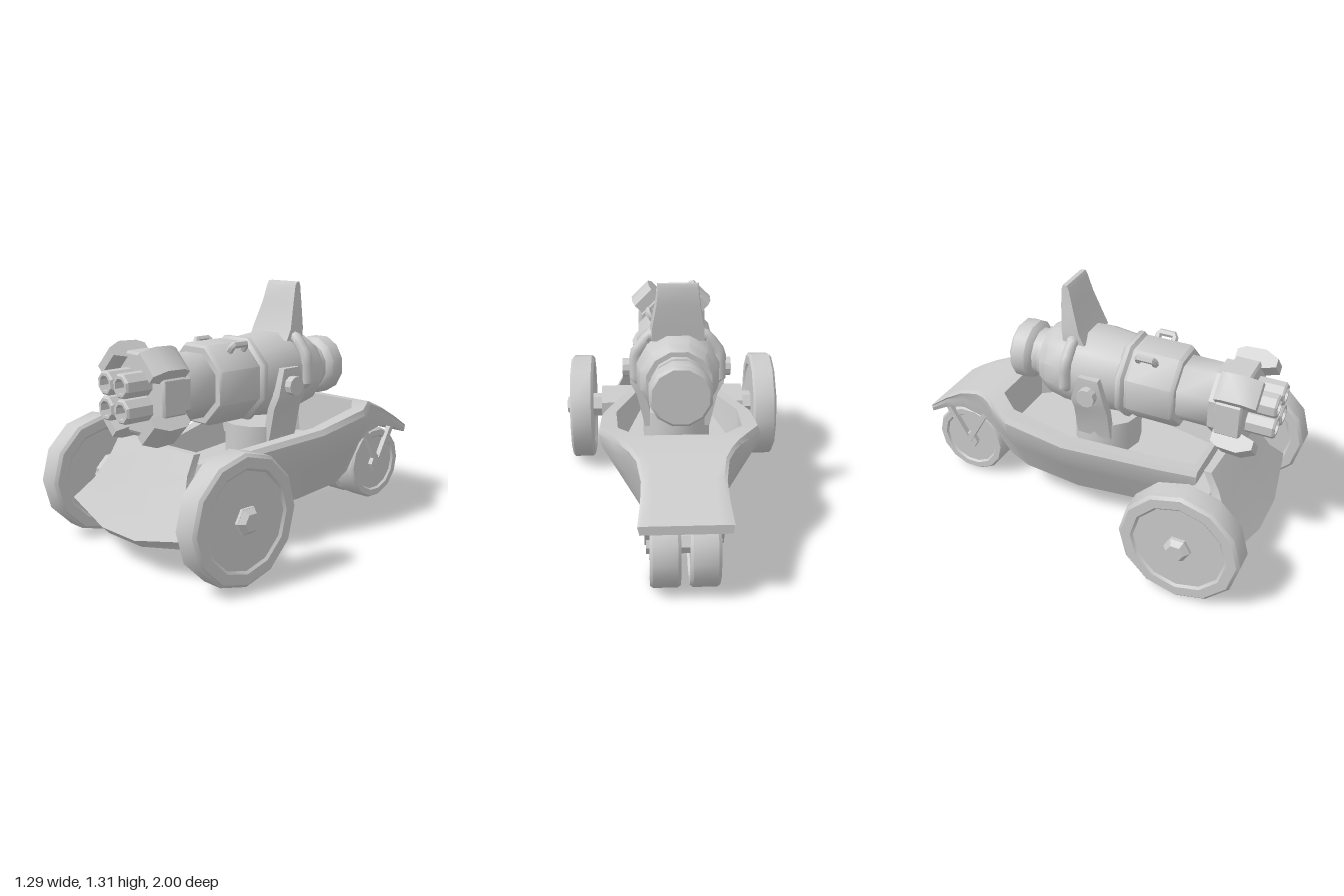
import * as THREE from 'three';
import { toCreasedNormals } from 'three/addons/utils/BufferGeometryUtils.js';

const mat = new THREE.MeshStandardMaterial({ color: 0xcccccc });

function add(parent, name, geo, x = 0, y = 0, z = 0, crease = 0.6) {
  const m = new THREE.Mesh(toCreasedNormals(geo, crease), mat);
  m.name = name;
  m.position.set(x, y, z);
  parent.add(m);
  return m;
}

// Skin over a list of closed rings of [x, y, z], capped at both ends
function loft(rings) {
  const n = rings[0].length, idx = [], last = (rings.length - 1) * n;
  for (let i = 0; i < rings.length - 1; i++)
    for (let j = 0; j < n; j++) {
      const a = i * n + j, b = i * n + (j + 1) % n;
      idx.push(a, a + n, b, b, a + n, b + n);
    }
  for (let j = 1; j < n - 1; j++) idx.push(0, j, j + 1, last, last + j + 1, last + j);
  const g = new THREE.BufferGeometry();
  g.setAttribute('position', new THREE.Float32BufferAttribute(rings.flat(2), 3));
  g.setIndex(idx);
  return g;
}

// Side outline of [z, y] points given a width across x
function sidePlate(points, width) {
  const g = new THREE.ExtrudeGeometry(new THREE.Shape(points.map(p => new THREE.Vector2(...p))),
    { depth: width, bevelEnabled: false });
  return g.translate(0, 0, -width / 2).rotateY(-Math.PI / 2);
}

// Turned part along z from [radius to flat, z] points, back to front
function turned(points, sides) {
  const k = 1 / Math.cos(Math.PI / sides);
  return new THREE.LatheGeometry(points.map(([r, z]) => new THREE.Vector2(r * k, z)), sides, Math.PI / sides)
    .rotateX(Math.PI / 2);
}

// Round part along x
const axleBar = (r, length, sides) => new THREE.CylinderGeometry(r, r, length, sides).rotateZ(Math.PI / 2);

// Bevelled tyre with a recessed disc on both faces
function wheelGeometry(r, half, sides) {
  const side = [[0, half * 0.84], [r * 0.75, half * 0.84], [r * 0.79, half], [r * 0.95, half], [r, half * 0.8]];
  const pts = [...side.map(([a, b]) => [a, -b]), ...side.slice().reverse()];
  return new THREE.LatheGeometry(pts.map(p => new THREE.Vector2(...p)), sides).rotateZ(Math.PI / 2);
}

// Bar between two points
function bar(parent, name, a, b, t) {
  const p = new THREE.Vector3(...a), q = new THREE.Vector3(...b);
  const m = add(parent, name, new THREE.BoxGeometry(t, t, p.distanceTo(q)));
  m.position.copy(p).add(q).multiplyScalar(0.5);
  m.lookAt(q);
}

function pipe(points, r, sides) {
  const path = new THREE.CurvePath();
  const v = points.map(p => new THREE.Vector3(...p));
  for (let i = 1; i < v.length; i++) path.add(new THREE.LineCurve3(v[i - 1], v[i]));
  return new THREE.TubeGeometry(path, 14, r, sides);
}

function buildHull(root) {
  // z, top half width, top y, bottom half width, bottom y, inner half width, floor y (0 = decked over)
  const stations = [
    [0.63, 0.235, 0.49, 0.13, 0.16, 0.17, 0],
    [0.60, 0.243, 0.495, 0.135, 0.16, 0.165, 0],
    [0.60, 0.243, 0.495, 0.135, 0.16, 0.165, 0.40],
    [0.43, 0.285, 0.51, 0.155, 0.16, 0.21, 0.40],
    [-0.05, 0.405, 0.575, 0.22, 0.165, 0.325, 0.40],
    [-0.38, 0.405, 0.63, 0.20, 0.18, 0.31, 0.40],
    [-0.50, 0.335, 0.64, 0.18, 0.22, 0.21, 0.40],
    [-0.50, 0.335, 0.64, 0.18, 0.22, 0.21, 0],
    [-0.56, 0.29, 0.635, 0.18, 0.30, 0.2, 0],
    [-0.61, 0.255, 0.622, 0.18, 0.37, 0.18, 0],
    [-0.68, 0.22, 0.60, 0.18, 0.415, 0.16, 0],
    [-0.80, 0.20, 0.55, 0.18, 0.44, 0.15, 0],
    [-0.90, 0.205, 0.49, 0.19, 0.42, 0.15, 0],
    [-0.995, 0.22, 0.42, 0.21, 0.375, 0.16, 0],
  ];
  const rings = stations.map(([z, w, top, wb, bot, wi, floor]) => {
    const h = top - bot;
    const half = [[wb, bot], [wb + (w - wb) * 0.6, bot + h * 0.5], [w * 0.965, top - h * 0.23],
      [w, top - h * 0.07], [w - 0.015, top], [wi, top], [wi * (floor ? 0.9 : 1), floor || top]];
    return [...half, ...half.slice().reverse().map(([x, y]) => [-x, y])].map(([x, y]) => [x, y, z]);
  });
  add(root, 'hull', loft(rings));
}

function buildShield(root) {
  // half width, tip y, tip z, middle y, middle z, thickness
  const rows = [
    [0.29, 0.57, 0.725, 0.57, 0.735, 0.04],
    [0.30, 0.48, 0.775, 0.47, 0.79, 0.045],
    [0.355, 0.35, 0.845, 0.32, 0.87, 0.06],
    [0.46, 0.235, 0.905, 0.17, 0.96, 0.09],
    [0.46, 0.19, 0.875, 0.13, 0.92, 0.06],
  ];
  add(root, 'frontShield', loft(rows.map(([w, ty, tz, my, mz, t]) => {
    const front = [[-w, ty, tz], [-w * 0.28, my, mz], [w * 0.28, my, mz], [w, ty, tz]];
    return [...front, ...front.slice().reverse().map(([x, y, z]) => [x, y, z - t])];
  })));
}

function buildRunningGear(root) {
  add(root, 'frontAxleBeam', new THREE.CylinderGeometry(0.108, 0.108, 0.86, 8, 1, false, Math.PI / 8)
    .rotateZ(Math.PI / 2), 0, 0.33, 0.68);
  add(root, 'frontAxle', axleBar(0.07, 1.23, 6), 0, 0.32, 0.685);
  add(root, 'rearAxle', axleBar(0.055, 0.36, 6), 0, 0.213, -0.785);
  for (const s of [1, -1]) {
    add(root, 'frontWheel', wheelGeometry(0.315, 0.068, 12), s * 0.542, 0.316, 0.685);
    add(root, 'frontHub', new THREE.CylinderGeometry(s > 0 ? 0.07 : 0.045, s > 0 ? 0.045 : 0.07, 0.03, 6)
      .rotateZ(Math.PI / 2), s * 0.628, 0.32, 0.685);
    add(root, 'rearWheel', wheelGeometry(0.212, 0.072, 14), s * 0.093, 0.212, -0.785);
    for (const z of [-0.66, -0.91])
      bar(root, 'rearStrut', [s * 0.173, 0.215, -0.785], [s * 0.173, 0.43, z], 0.03);
  }
}

function buildMount(root) {
  add(root, 'turntable', new THREE.CylinderGeometry(0.18, 0.18, 0.2, 12), 0, 0.48, 0.03);
  // Arms lean out from the turntable, then rise to the pivot: y, x, front z, back z
  const arm = [[0.89, 0.222, 0.08, -0.03], [0.75, 0.225, 0.12, -0.07], [0.68, 0.19, 0.12, -0.07], [0.5, 0.15, 0.12, -0.07]];
  for (const s of [1, -1]) {
    add(root, 'mountArm', loft(arm.map(([y, x, f, b]) =>
      [[s * x - 0.023, y, f], [s * x + 0.023, y, f], [s * x + 0.023, y, b], [s * x - 0.023, y, b]])));
    add(root, 'pivot', axleBar(0.05, 0.06, 10), s * 0.257, 0.8, 0.03);
  }
}

function buildGun(root) {
  const gun = new THREE.Group();
  gun.name = 'gun';
  gun.position.y = 0.83;
  root.add(gun);

  add(gun, 'gunBody', turned([[0, -0.49], [0.14, -0.49], [0.155, -0.475], [0.155, -0.4], [0.14, -0.38],
    [0.125, -0.37], [0.125, -0.335], [0.14, -0.33], [0.14, -0.3], [0.165, -0.3], [0.195, -0.25],
    [0.213, -0.15], [0.217, 0], [0.2, 0.17], [0, 0.17]], 12));
  add(gun, 'barrelCasing', turned([[0, 0.155], [0.2, 0.155], [0.212, 0.165], [0.212, 0.19], [0.195, 0.205],
    [0.2, 0.22], [0.2, 0.45], [0.188, 0.47], [0.158, 0.47], [0.158, 0.65]], 8), 0, 0, 0, 0.8);
  add(gun, 'muzzleHead', turned([[0, 0.645], [0.178, 0.645], [0.178, 0.68], [0.198, 0.69], [0.198, 0.81],
    [0.185, 0.82], [0, 0.82]], 8));

  // Diagonal muzzle guards
  const guard = [[0.68, 0.16], [0.82, 0.17], [0.89, 0.19], [0.89, 0.235], [0.82, 0.267], [0.72, 0.262], [0.68, 0.24]];
  for (let i = 0; i < 4; i++)
    add(gun, 'muzzleGuard', sidePlate(guard, 0.14)).rotation.z = Math.PI / 4 + i * Math.PI / 2;

  // Hollow barrels
  for (const x of [-0.06, 0.06]) for (const y of [-0.058, 0.062])
    add(gun, 'barrel', turned([[0, 0.8], [0.056, 0.8], [0.056, 0.955], [0.048, 0.965],
      [0.035, 0.965], [0.032, 0.88], [0, 0.88]], 8), x, y);

  // Swept fin, wider at its foot
  const fin = [[0.14, 0.18, -0.045, -0.17], [0.14, 0.24, -0.075, -0.175], [0.115, 0.37, -0.12, -0.187],
    [0.105, 0.46, -0.145, -0.187], [0.104, 0.48, -0.157, -0.18]];
  add(gun, 'fin', loft(fin.slice().reverse().map(([w, y, f, b]) =>
    [[-w, y, f], [w, y, f], [w * 0.95, y, b], [-w * 0.95, y, b]])));

  // Side straps and grab handles
  for (const s of [1, -1]) {
    add(gun, 'sideStrap', pipe([[s * 0.1, 0.2, -0.11], [s * 0.15, 0.19, -0.11], [s * 0.217, 0.1, -0.115],
      [s * 0.217, -0.045, -0.12], [s * 0.17, -0.05, -0.12]], 0.032, 8), 0, 0, 0, 0.9);
    add(gun, 'grabHandle', pipe([[s * 0.11, 0.155, 0.25], [s * 0.143, 0.197, 0.25], [s * 0.143, 0.197, 0.34],
      [s * 0.11, 0.155, 0.34]], 0.018, 6));
  }
}

export function createModel() {
  const root = new THREE.Group();
  root.name = 'gunCart';
  buildHull(root);
  buildShield(root);
  buildRunningGear(root);
  buildMount(root);
  buildGun(root);
  return root;
}
